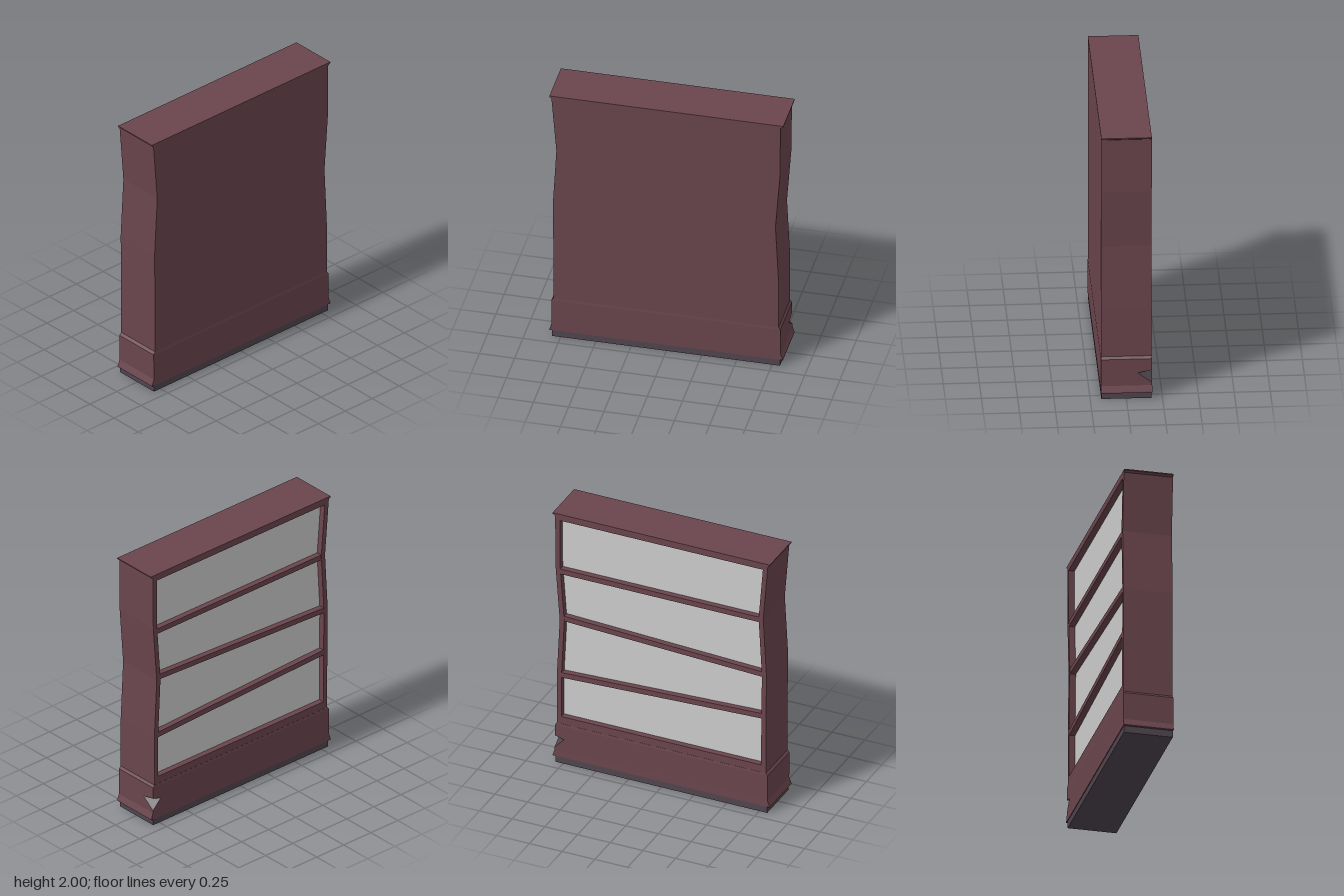
import * as THREE from 'three';

const wood = new THREE.MeshStandardMaterial({ color: 0x6a454d });
wood.name = 'maroon wood';
const dark = new THREE.MeshStandardMaterial({ color: 0x4f454e });
dark.name = 'dark base';
const pale = new THREE.MeshStandardMaterial({ color: 0xcccccc });
pale.name = 'pale backing';

// Bent outer edges of the case as [z, y], bottom to top
const FRONT = [[0.8, 0.31], [0.8, 0.6], [0.805, 1.1], [0.78, 1.55], [0.815, 1.98], [0.83, 1.992], [0.83, 2]];
const BACK = [[-0.797, 0.31], [-0.797, 0.7], [-0.775, 1.15], [-0.807, 1.58], [-0.81, 1.98], [-0.83, 1.992], [-0.83, 2]];
const FACE = -0.176, RECESS = -0.131, REAR = 0.174;
const LOW = 0.375, HIGH = 1.95, RIM = 0.035;

// z of an edge line at height y
function edgeAt(edge, y) {
  for (let i = 1; i < edge.length; i++) {
    const [z0, y0] = edge[i - 1], [z1, y1] = edge[i];
    if (y <= y1) return z0 + (z1 - z0) * (y - y0) / (y1 - y0);
  }
  return edge[edge.length - 1][0];
}

const toShape = (pts) => new THREE.Shape(pts.map(([z, y]) => new THREE.Vector2(z, y)));

// Opening outline, following the bent sides
function openingPoints() {
  const inner = (edge, shift) => [
    [edgeAt(edge, LOW) + shift, LOW],
    ...edge.filter(([, y]) => y > LOW && y < HIGH).map(([z, y]) => [z + shift, y]),
    [edgeAt(edge, HIGH) + shift, HIGH],
  ];
  return [...inner(FRONT, -RIM), ...inner(BACK, RIM).reverse()];
}

// Extrude a (z, y) shape from xFrom toward -x until xTo
function slab(shape, xFrom, xTo) {
  const g = new THREE.ExtrudeGeometry(shape, { depth: xFrom - xTo, bevelEnabled: false });
  return g.rotateY(-Math.PI / 2).translate(xFrom, 0, 0);
}

// Loft stacked rings; a row is [y, xMin, xMax, zMin, zMax, cutX, cutZ], the cut chips one corner.
// Material group 0 is the outside, group 1 the chipped faces.
function loft(rows) {
  const rings = rows.map(([y, x0, x1, z0, z1, cx = 0, cz = 0]) =>
    [[x0, y, z1], [x1, y, z1], [x1, y, z0], [x0 + cx, y, z0], [x0, y, z0 + cz]]);
  const outside = [], chip = [];
  for (let r = 1; r < rings.length; r++) {
    for (let i = 0; i < 5; i++) {
      const j = (i + 1) % 5, a = rings[r - 1], b = rings[r];
      (i === 3 ? chip : outside).push(a[i], a[j], b[j], a[i], b[j], b[i]);
    }
  }
  const bottom = rings[0], top = rings[rings.length - 1];
  for (let i = 1; i < 4; i++) {
    outside.push(bottom[0], bottom[i + 1], bottom[i], top[0], top[i], top[i + 1]);
  }
  const g = new THREE.BufferGeometry();
  g.setAttribute('position', new THREE.Float32BufferAttribute([...outside, ...chip].flat(), 3));
  g.computeVertexNormals();
  g.addGroup(0, outside.length, 0);
  g.addGroup(outside.length, chip.length, 1);
  return g;
}

export function createModel() {
  const group = new THREE.Group();
  const add = (name, geometry, material) => {
    const mesh = new THREE.Mesh(geometry, material);
    mesh.name = name;
    group.add(mesh);
  };

  // Case: solid rear part and a rim around the opening
  const outline = [...FRONT, ...[...BACK].reverse()];
  add('caseBody', slab(toShape(outline), REAR, RECESS), wood);
  const rim = toShape(outline);
  rim.holes.push(new THREE.Path(openingPoints().map(([z, y]) => new THREE.Vector2(z, y))));
  add('caseRim', slab(rim, RECESS, FACE), wood);

  // Pale backing visible behind the shelves
  add('backing', slab(toShape(openingPoints()), RECESS, RECESS - 0.002), pale);

  // Shelves, two of them sagging: centre height at the -z and +z ends
  for (const [yBack, yFront] of [[1.54, 1.54], [1.168, 1.105], [0.708, 0.77]]) {
    const zb = edgeAt(BACK, yBack) + RIM / 2, zf = edgeAt(FRONT, yFront) - RIM / 2, h = 0.02;
    const board = toShape([[zb, yBack - h], [zf, yFront - h], [zf, yFront + h], [zb, yBack + h]]);
    add('shelf', slab(board, RECESS, FACE + 0.001), wood);
  }

  // Plinth with a flared skirt and a chipped corner
  add('plinth', loft([
    [0.05, -0.18, 0.176, -0.828, 0.83],
    [0.06, -0.18, 0.176, -0.826, 0.828],
    [0.1, -0.179, 0.176, -0.812, 0.813],
    [0.12, -0.179, 0.176, -0.812, 0.813],
    [0.195, -0.179, 0.176, -0.811, 0.814, 0.1, 0.07],
    [0.215, -0.179, 0.176, -0.811, 0.814],
    [0.3, -0.179, 0.176, -0.81, 0.815],
    [0.318, -0.177, 0.174, -0.797, 0.8],
  ]), [wood, dark]);

  // Dark base under the plinth
  add('base', loft([
    [0, -0.175, 0.173, -0.807, 0.81],
    [0.052, -0.175, 0.173, -0.807, 0.81],
  ]), [dark, dark]);

  return group;
}
